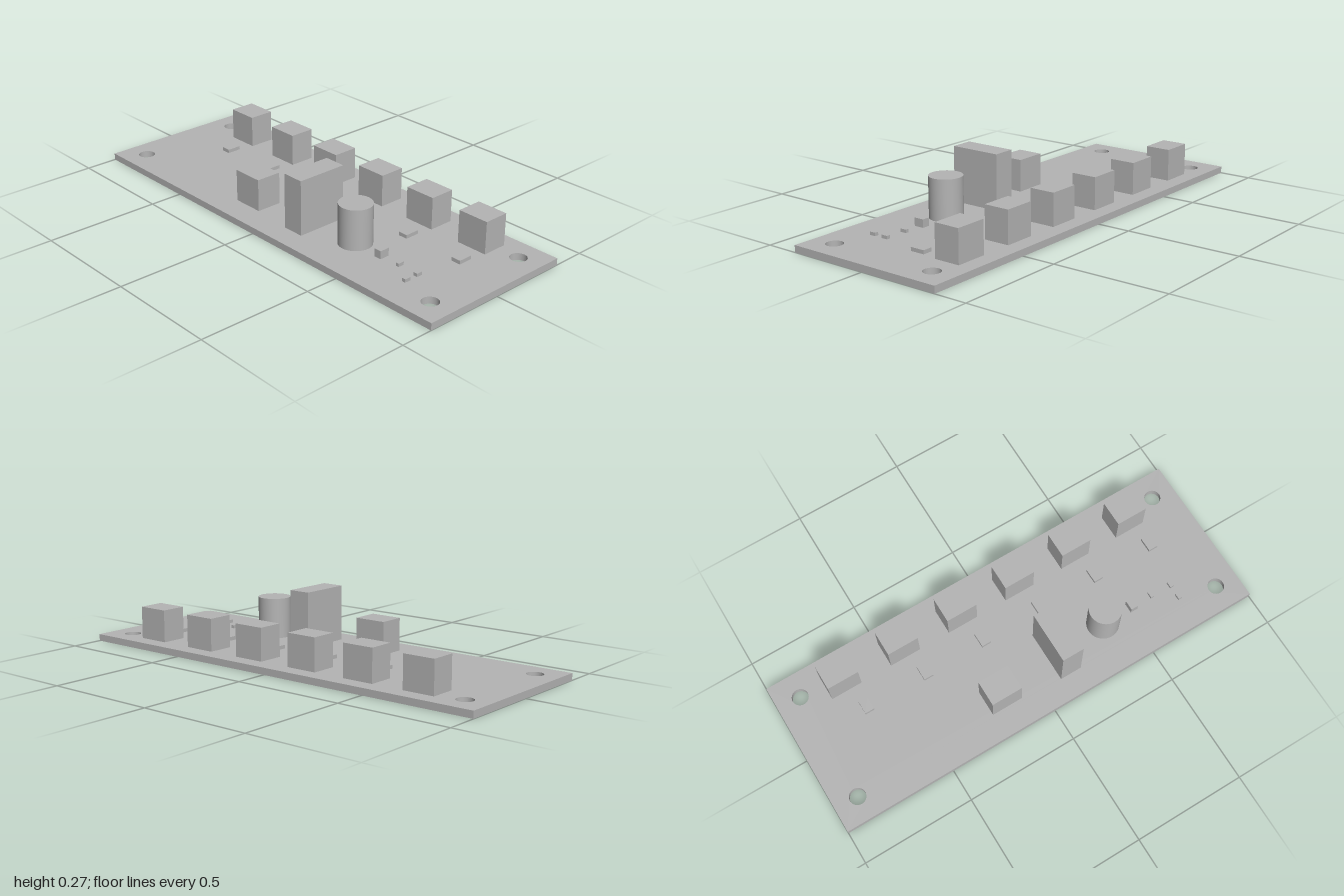
import * as THREE from 'three';

const BOARD_TOP = 0.03;

export function createModel() {
  const model = new THREE.Group();
  model.name = 'circuitBoard';
  const grey = new THREE.MeshStandardMaterial({ color: 0xb4b4b4 });
  grey.name = 'plain grey';

  const add = (name, geometry, x = 0, y = 0, z = 0) => {
    const mesh = new THREE.Mesh(geometry, grey);
    mesh.name = name;
    mesh.position.set(x, y, z);
    model.add(mesh);
    return mesh;
  };
  // Box standing on the board; top is its height above y = 0
  const block = (name, x, z, w, d, top) => {
    const h = top - BOARD_TOP;
    add(name, new THREE.BoxGeometry(w, h, d), x, BOARD_TOP + h / 2, z);
  };

  // Board with four mounting holes
  const outline = new THREE.Shape();
  outline.moveTo(-1, -0.357).lineTo(1, -0.357).lineTo(1, 0.357).lineTo(-1, 0.357).closePath();
  for (const x of [-0.894, 0.894]) {
    for (const z of [-0.25, 0.25]) {
      const hole = new THREE.Path();
      hole.absarc(x, z, 0.036, 0, Math.PI * 2, true);
      outline.holes.push(hole);
    }
  }
  const board = new THREE.ExtrudeGeometry(outline, { depth: BOARD_TOP, bevelEnabled: false, curveSegments: 32 });
  board.rotateX(-Math.PI / 2);
  add('board', board);

  // Row of connectors, each with a small chip in front of it
  for (let i = 0; i < 6; i++) {
    block('connector' + (i + 1), -0.711 + i * 0.286, -0.229, 0.142, 0.115, 0.172);
    block('chip' + (i + 1), -0.673 + i * 0.286, -0.071, 0.043, 0.065, 0.046);
  }

  // Power section
  block('powerConnector', -0.167, 0.185, 0.142, 0.115, 0.172);
  block('tallRegulator', 0.14, 0.143, 0.099, 0.23, 0.272);
  add('capacitor', new THREE.CylinderGeometry(0.0715, 0.0715, 0.208 - BOARD_TOP, 64),
    0.379, (0.208 + BOARD_TOP) / 2, 0.137);

  // Small surface-mount parts
  block('diode', 0.527, 0.137, 0.034, 0.045, 0.065);
  block('resistor1', 0.627, 0.137, 0.015, 0.028, 0.044);
  block('resistor2', 0.727, 0.141, 0.018, 0.028, 0.044);
  block('resistor3', 0.727, 0.205, 0.018, 0.028, 0.044);

  return model;
}
